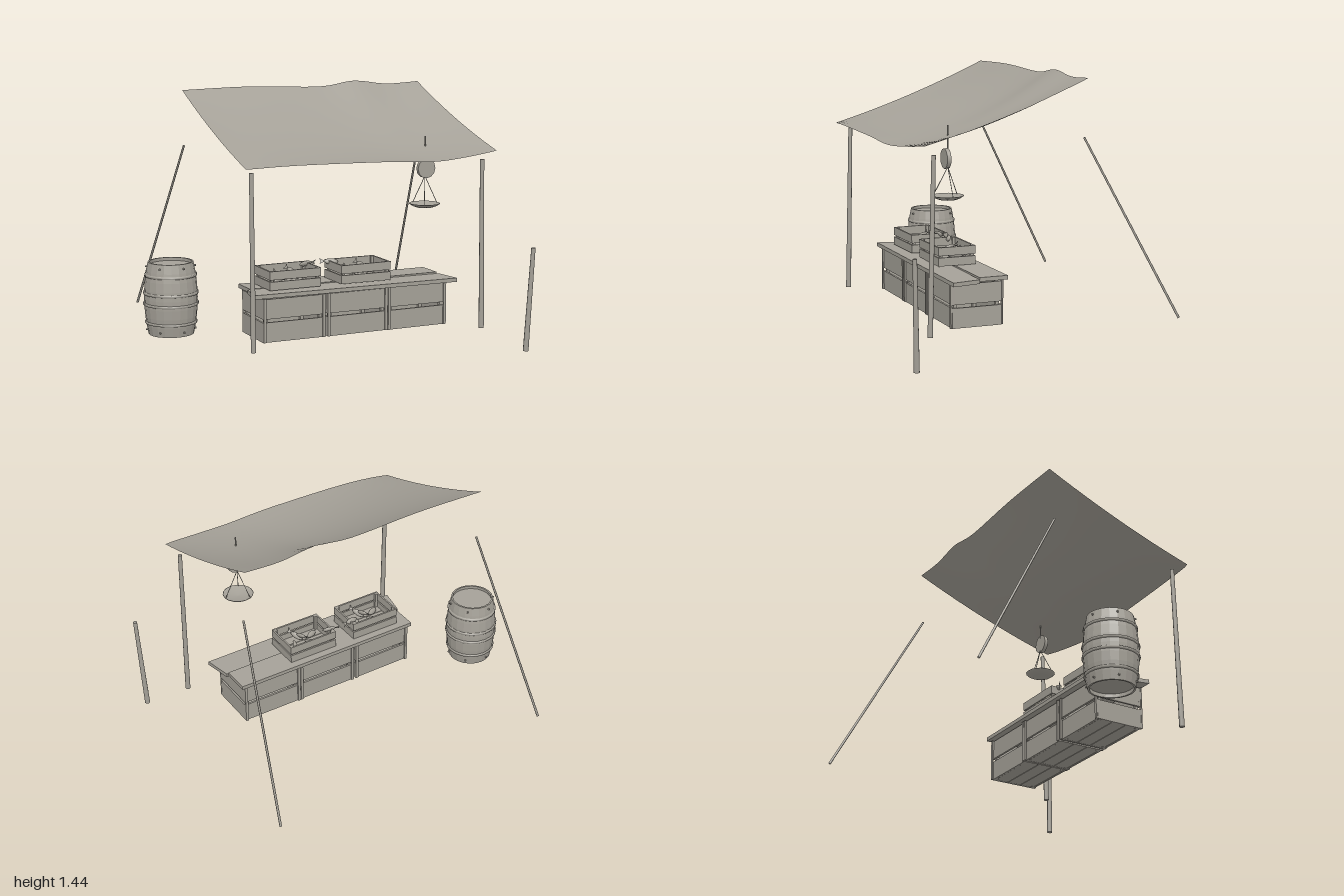
import * as THREE from 'three';

export function createModel() {
  const root = new THREE.Group();
  root.name = 'marketStall';
  const grey = new THREE.MeshStandardMaterial({ color: 0xa5a198 });
  grey.name = 'weathered grey';
  const greyOpen = new THREE.MeshStandardMaterial({ color: 0xa5a198, side: THREE.DoubleSide });
  greyOpen.name = 'weathered grey sheet';

  let seed = 7;
  const jitter = (a) => {
    seed = (seed * 16807) % 2147483647;
    return (seed / 2147483647 - 0.5) * 2 * a;
  };
  const add = (parent, name, geo, x = 0, y = 0, z = 0, mat = grey) => {
    const m = new THREE.Mesh(geo, mat);
    m.name = name;
    m.position.set(x, y, z);
    parent.add(m);
    return m;
  };
  const group = (name, x = 0, y = 0, z = 0) => {
    const g = new THREE.Group();
    g.name = name;
    g.position.set(x, y, z);
    root.add(g);
    return g;
  };
  const V = (p) => new THREE.Vector3(...p);
  // Straight round bar between two points
  const bar = (parent, name, a, b, r0, r1 = r0, sides = 8) => {
    const A = V(a), B = V(b), d = B.clone().sub(A);
    const m = add(parent, name, new THREE.CylinderGeometry(r1, r0, d.length(), sides));
    m.position.copy(A).add(B).multiplyScalar(0.5);
    m.quaternion.setFromUnitVectors(new THREE.Vector3(0, 1, 0), d.normalize());
    return m;
  };

  // Canopy: sagging cloth with wavy front and back edges
  const backWave = new THREE.SplineCurve([[-0.67, 1.425], [-0.25, 1.432], [0.17, 1.417],
    [0.39, 1.444], [0.6, 1.42], [0.81, 1.428]].map((p) => new THREE.Vector2(...p)));
  const frontWave = new THREE.SplineCurve([[-0.67, 1.088], [-0.4, 1.098], [0.1, 1.092],
    [0.39, 1.078], [0.6, 1.09], [0.81, 1.112]].map((p) => new THREE.Vector2(...p)));
  const cloth = new THREE.PlaneGeometry(1, 1, 20, 12);
  const cp = cloth.attributes.position;
  for (let i = 0; i < cp.count; i++) {
    const u = cp.getX(i) + 0.5, v = 0.5 - cp.getY(i); // v: 0 back, 1 front
    const b = backWave.getPoint(u), f = frontWave.getPoint(u);
    const bow = 4 * u * (1 - u), dip = 4 * v * (1 - v);
    const zf = 0.635 + 0.055 * bow;
    const y = b.y + (f.y - b.y) * v - dip * (0.02 + 0.065 * bow);
    cp.setXYZ(i, b.x + (f.x - b.x) * v, y, -0.272 + (zf + 0.272) * v);
  }
  cloth.computeVertexNormals();
  add(root, 'canopy', cloth, 0, 0, 0, greyOpen);

  // Front posts, loose post and rear guy poles
  for (const x of [-0.615, 0.757]) {
    bar(root, 'frontPost', [x, 0.12, 0.59], [x + 0.002, 1.06, 0.568], 0.015, 0.012);
  }
  bar(root, 'loosePost', [0.957, 0, 0.737], [0.983, 0.58, 0.753], 0.016, 0.012);
  bar(root, 'guyPole', [-0.785, 0.143, -0.76], [-0.674, 1.12, -0.245], 0.007, 0.006, 6);
  bar(root, 'guyPole', [0.927, 0.143, -0.76], [0.816, 1.12, -0.245], 0.007, 0.006, 6);

  // Barrel: bulged staves, inset lids, hoops and studs
  const barrel = group('barrel', -0.845, 0.12, -0.018);
  const bulge = (y) => 0.146 - 0.022 * Math.pow((y - 0.2) / 0.2, 2);
  const prof = [[0.116, 0.03], [0.114, 0]];
  for (let i = 0; i <= 8; i++) prof.push([bulge(i * 0.05), i * 0.05]);
  prof.push([0.114, 0.4], [0.116, 0.37]);
  add(barrel, 'barrelStaves',
    new THREE.LatheGeometry(prof.map((p) => new THREE.Vector2(...p)), 20).toNonIndexed(), 0, 0, 0, greyOpen)
    .geometry.computeVertexNormals();
  for (const y of [0.025, 0.378]) add(barrel, 'barrelLid', new THREE.CylinderGeometry(0.117, 0.117, 0.008, 20), 0, y, 0);
  for (const y of [0.068, 0.17, 0.23, 0.328]) {
    const r = bulge(y);
    const hoop = [[r - 0.004, -0.008], [r + 0.006, -0.006], [r + 0.006, 0.006], [r - 0.004, 0.008]];
    add(barrel, 'barrelHoop', new THREE.LatheGeometry(hoop.map((p) => new THREE.Vector2(...p)), 20), 0, y, 0, greyOpen);
  }
  for (const y of [0.025, 0.375]) {
    for (let i = 0; i < 6; i++) {
      const a = i * Math.PI / 3 + 0.3, r = bulge(y);
      bar(barrel, 'barrelStud', [Math.cos(a) * (r - 0.01), y, Math.sin(a) * (r - 0.01)],
        [Math.cos(a) * (r + 0.008), y, Math.sin(a) * (r + 0.008)], 0.006, 0.005, 6);
    }
  }

  // Slatted crate with open top; origin at bottom centre
  const crate = (name, x, y, z, w, h, d, gap, t) => {
    const g = group(name, x, y, z);
    const sh = (h - gap) / 2;
    for (let row = 0; row < 2; row++) {
      const sy = sh / 2 + row * (sh + gap);
      for (const s of [-1, 1]) {
        const long = add(g, 'longSlat', new THREE.BoxGeometry(w, sh, t), 0, sy, s * (d / 2 - t / 2));
        long.rotation.z = jitter(0.006);
        const end = add(g, 'endSlat', new THREE.BoxGeometry(t, sh, d - 2 * t), s * (w / 2 - t / 2), sy, 0);
        end.rotation.x = jitter(0.006);
      }
    }
    for (const sx of [-1, 1]) for (const sz of [-1, 1]) {
      add(g, 'cornerPost', new THREE.BoxGeometry(t * 1.6, h, t * 1.6),
        sx * (w / 2 - t * 1.7), h / 2, sz * (d / 2 - t * 1.7));
    }
    for (let i = -1; i <= 1; i++) {
      add(g, 'bottomBoard', new THREE.BoxGeometry(w - 2 * t, t, (d - 2 * t) / 3 - 0.004),
        0, t / 2 + 0.001, i * (d - 2 * t) / 3);
    }
    return g;
  };

  // Counter: three large crates under two planks
  for (const x of [-0.303, 0.075, 0.443]) {
    crate('counterCrate', x, 0.12, 0.277, 0.362, 0.235, 0.28, 0.018, 0.012);
    for (const s of [-1, 1]) for (const z of [0.132, 0.422]) {
      add(root, 'crateBatten', new THREE.BoxGeometry(0.016, 0.238, 0.008), x + s * 0.174, 0.24, z);
    }
  }
  const plank = (x0, x1, z0, z1, skew, y) => {
    const s = new THREE.Shape([[x0, -z1], [x1, -z1], [x1 - skew, -z0], [x0 + skew, -z0]]
      .map((p) => new THREE.Vector2(...p)));
    const geo = new THREE.ExtrudeGeometry(s, { depth: 0.022, bevelEnabled: false });
    geo.rotateX(-Math.PI / 2);
    return add(root, 'counterPlank', geo, 0, y, 0);
  };
  plank(-0.545, 0.69, 0.275, 0.435, 0.03, 0.361).rotation.z = -0.006;
  plank(-0.5, 0.65, 0.112, 0.272, 0.0, 0.366);

  // Fish: tapered body with a flat tail
  const bodyGeo = new THREE.SphereGeometry(1, 8, 6);
  bodyGeo.scale(0.042, 0.017, 0.011);
  const tailGeo = new THREE.ShapeGeometry(new THREE.Shape([[0.032, 0], [0.066, -0.018], [0.058, 0], [0.066, 0.018]]
    .map((p) => new THREE.Vector2(...p))));
  const fish = (parent, x, y, z, yaw, pitch) => {
    const g = new THREE.Group();
    g.name = 'fish';
    add(g, 'fishBody', bodyGeo);
    add(g, 'fishTail', tailGeo, 0, 0, 0, greyOpen);
    g.position.set(x, y, z);
    g.rotation.set(0.5, yaw, pitch, 'YXZ');
    parent.add(g);
  };
  for (const [x, spill] of [[-0.273, 1], [0.152, -1]]) {
    const c = crate('fishCrate', x, 0.39, 0.263, 0.302, 0.103, 0.215, 0.01, 0.01);
    fish(c, -0.07, 0.035, 0.03, 0.5, 0.1);
    fish(c, -0.02, 0.045, -0.04, 2.2, 0.3);
    fish(c, 0.03, 0.06, 0.03, -0.8, 0.4);
    fish(c, 0.07, 0.04, -0.02, 1.2, -0.1);
    fish(c, 0.02, 0.075, 0.0, 1.9, 0.35);
    fish(c, spill * 0.135, 0.098, -0.06, spill > 0 ? 0.2 : 2.9, 0.05);
  }

  // Hanging scale: hook, dial, three cords and a shallow pan
  const scale = group('hangingScale', 0.5, 0, 0.392);
  bar(scale, 'scaleHook', [0, 1.04, 0], [0, 1.18, 0], 0.004, 0.004, 6);
  const dial = add(scale, 'scaleDial', new THREE.CylinderGeometry(0.054, 0.054, 0.022, 12), 0, 1.004, 0.01);
  dial.rotation.x = Math.PI / 2;
  for (let i = 0; i < 3; i++) {
    const a = i * Math.PI * 2 / 3;
    bar(scale, 'scaleCord', [Math.cos(a) * 0.078, 0.806, Math.sin(a) * 0.078], [0, 0.96, 0], 0.002, 0.002, 5);
  }
  const pan = [[0, 0.785], [0.045, 0.787], [0.07, 0.796], [0.087, 0.808], [0.084, 0.81], [0.05, 0.796], [0, 0.792]];
  add(scale, 'scalePan', new THREE.LatheGeometry(pan.map((p) => new THREE.Vector2(...p)), 16), 0, 0, 0, greyOpen);

  return root;
}
